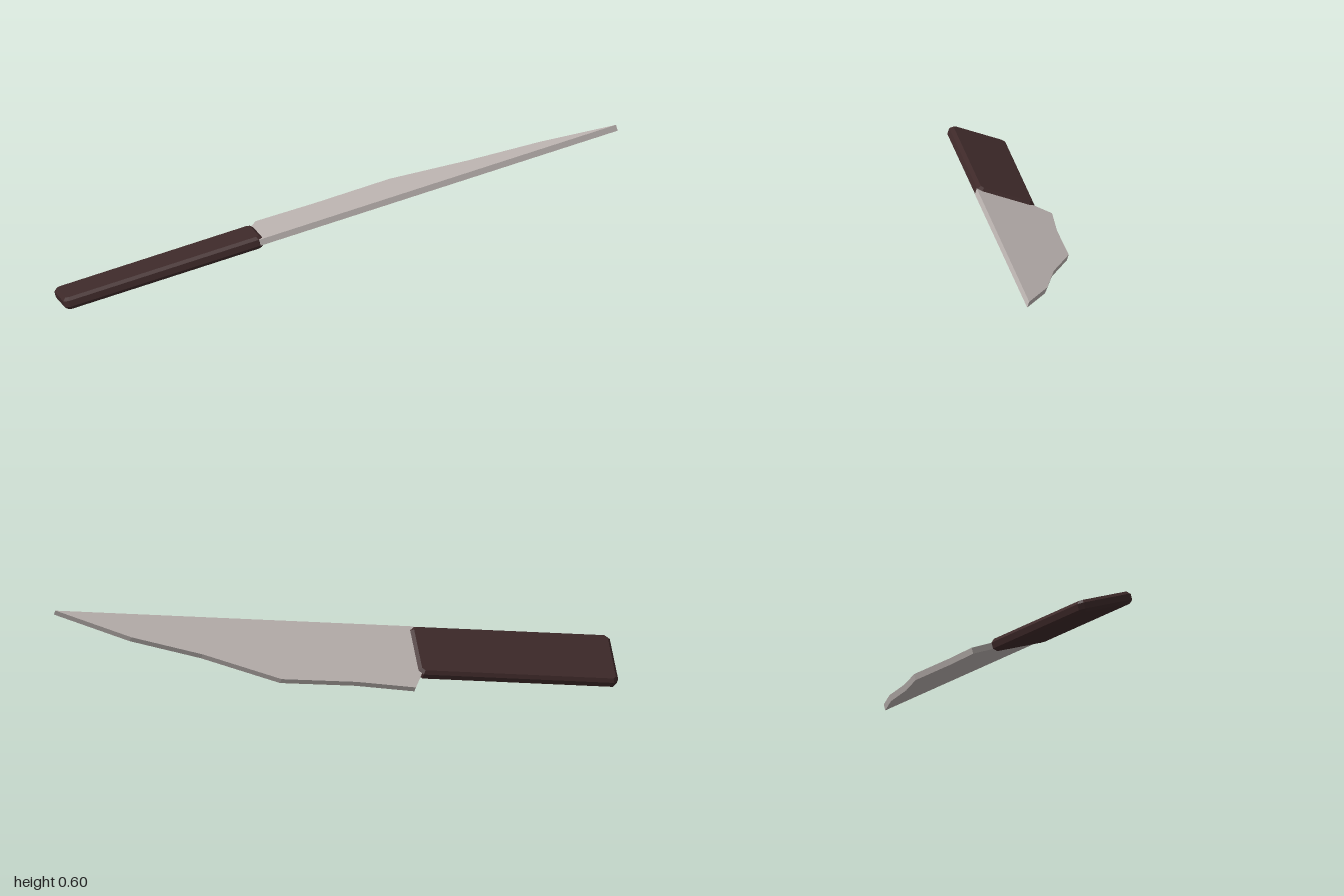
import * as THREE from 'three';

// Flat plate cut from an outline, centred on its own thickness
function plate(name, outline, thickness, bevel, color) {
  const shape = new THREE.Shape(outline.map(([x, y]) => new THREE.Vector2(x, y)));
  const depth = thickness - 2 * bevel;
  const geometry = new THREE.ExtrudeGeometry(shape, {
    depth, bevelEnabled: bevel > 0, bevelThickness: bevel,
    bevelSize: bevel, bevelOffset: -bevel, bevelSegments: 1,
  });
  geometry.translate(0, 0, -depth / 2);
  const mesh = new THREE.Mesh(geometry, new THREE.MeshStandardMaterial({ color, flatShading: true }));
  mesh.name = name;
  return mesh;
}

export function createModel() {
  const knife = new THREE.Group();
  knife.name = 'knife';

  // Blade: straight spine along y = 0, faceted cutting edge towards +y
  knife.add(plate('blade', [
    [-0.01, 0], [1.555, 0], [1.245, 0.125], [0.945, 0.2],
    [0.62, 0.314], [0.29, 0.311], [0.035, 0.327], [-0.01, 0.24],
  ], 0.026, 0, 0xbcb4b1));

  // Handle: bar with cut corners and chamfered rims
  const [x0, x1, y0, y1, c] = [-0.865, 0.008, 0.002, 0.256, 0.02];
  knife.add(plate('handle', [
    [x0 + c, y0], [x1 - c, y0], [x1, y0 + c], [x1, y1 - c],
    [x1 - c, y1], [x0 + c, y1], [x0, y1 - c], [x0, y0 + c],
  ], 0.052, 0.013, 0x3f2a2a));

  // Tilt the knife: x along the spine, y towards the cutting edge, z out of the blade face
  const along = new THREE.Vector3(0.767, 0.2, -0.609).normalize();
  const face = new THREE.Vector3(-0.367, 0.917, -0.161).normalize();
  const edge = new THREE.Vector3().crossVectors(face, along).normalize();
  face.crossVectors(along, edge);
  knife.quaternion.setFromRotationMatrix(new THREE.Matrix4().makeBasis(along, edge, face));
  knife.position.set(-0.203, 0.28, 0.208);

  const model = new THREE.Group();
  model.add(knife);
  return model;
}
